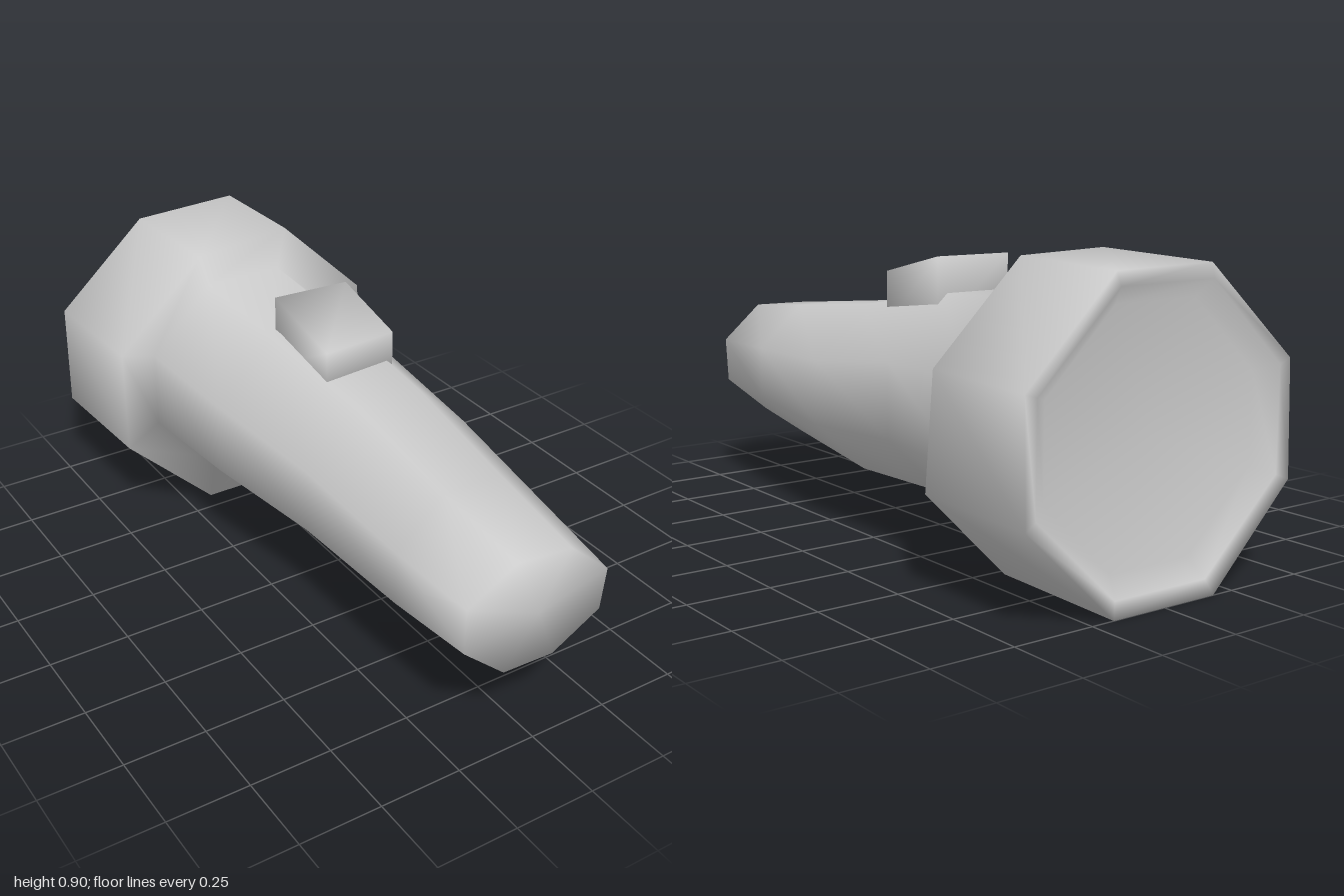
import * as THREE from 'three';
import { mergeVertices } from 'three/addons/utils/BufferGeometryUtils.js';

const material = new THREE.MeshStandardMaterial({ color: 0xcccccc });
const SIDES = 8;

// Octagon filling the given bounds, counter-clockwise seen from +z, starting at the lower +x corner.
// z is one depth, or one depth per corner for the uneven, hand-cut ends.
function ring(left, right, bottom, top, z) {
  const cx = (left + right) / 2, rx = (right - left) / 2;
  const cy = (bottom + top) / 2, ry = (top - bottom) / 2;
  const k = 0.38;
  const corners = [[1, -k], [1, k], [k, 1], [-k, 1], [-1, k], [-1, -k], [-k, -1], [k, -1]];
  return corners.map(([x, y], i) => [cx + x * rx, cy + y * ry, Array.isArray(z) ? z[i] : z]);
}

// Indices joining consecutive rings from one ring number to another.
function bands(from, to) {
  const index = [];
  for (let r = from; r < to; r++) {
    for (let j = 0; j < SIDES; j++) {
      const a = r * SIDES + j, b = r * SIDES + (j + 1) % SIDES;
      index.push(a, a + SIDES, b, b, a + SIDES, b + SIDES);
    }
  }
  return index;
}

// Fan closing a ring with a centre vertex.
function fan(r, centre, facesBack) {
  const index = [];
  for (let j = 0; j < SIDES; j++) {
    const a = r * SIDES + j, b = r * SIDES + (j + 1) % SIDES;
    index.push(centre, facesBack ? b : a, facesBack ? a : b);
  }
  return index;
}

function named(name, geometry) {
  const mesh = new THREE.Mesh(geometry, material);
  mesh.name = name;
  return mesh;
}

export function createModel() {
  const group = new THREE.Group();
  group.name = 'flashlight';

  // Cross-sections from the handle tip back to the recessed lens
  const rings = [
    ring(-0.215, 0.213, 0.23, 0.6, [0.985, 1, 1, 0.98, 0.95, 0.95, 0.955, 0.96]),
    ring(-0.235, 0.26, 0.2, 0.635, 0.66),
    ring(-0.243, 0.32, 0.16, 0.685, 0.21),
    ring(-0.315, 0.322, 0.16, 0.757, -0.19),
    ring(-0.332, 0.342, 0.13, 0.778, -0.585),
    ring(-0.457, 0.463, 0.01, 0.9, [-0.575, -0.61, -0.61, -0.545, -0.555, -0.555, -0.55, -0.55]),
    ring(-0.47, 0.468, 0, 0.89, [-0.998, -0.99, -0.985, -0.96, -0.98, -0.99, -1, -1]),
    ring(-0.425, 0.425, 0.045, 0.85, -0.985),
    ring(-0.365, 0.365, 0.1, 0.8, -0.94),
  ];
  const points = rings.flat();
  const tip = points.push([0, 0.415, 0.985]) - 1;
  const lensCentre = points.push([0, 0.45, -0.93]) - 1;

  // Normals are shared over the whole skin, then it is split into named parts
  const parts = {
    handle: [...fan(0, tip, false), ...bands(0, 4)],
    head: bands(4, 8),
    lens: fan(8, lensCentre, true),
  };
  const skin = new THREE.BufferGeometry();
  skin.setAttribute('position', new THREE.Float32BufferAttribute(points.flat(), 3));
  skin.setIndex(Object.values(parts).flat());
  skin.computeVertexNormals();
  for (const [name, index] of Object.entries(parts)) {
    const part = skin.clone();
    part.setIndex(index);
    group.add(named(name, part.toNonIndexed()));
  }

  // Ramped slide switch on top of the handle
  let button = new THREE.BoxGeometry(1, 1, 1);
  button.deleteAttribute('normal');
  button.deleteAttribute('uv');
  button = mergeVertices(button);
  const p = button.attributes.position;
  for (let i = 0; i < p.count; i++) {
    const front = p.getZ(i) > 0, up = p.getY(i) > 0, right = p.getX(i) > 0;
    const y = up ? (front ? 0.803 : 0.866) : 0.64;
    const z = front ? (right ? 0.055 : 0.072) : (right ? -0.207 : -0.224);
    p.setXYZ(i, right ? 0.158 : -0.085, y, z);
  }
  button.computeVertexNormals();
  group.add(named('switchButton', button));

  return group;
}
